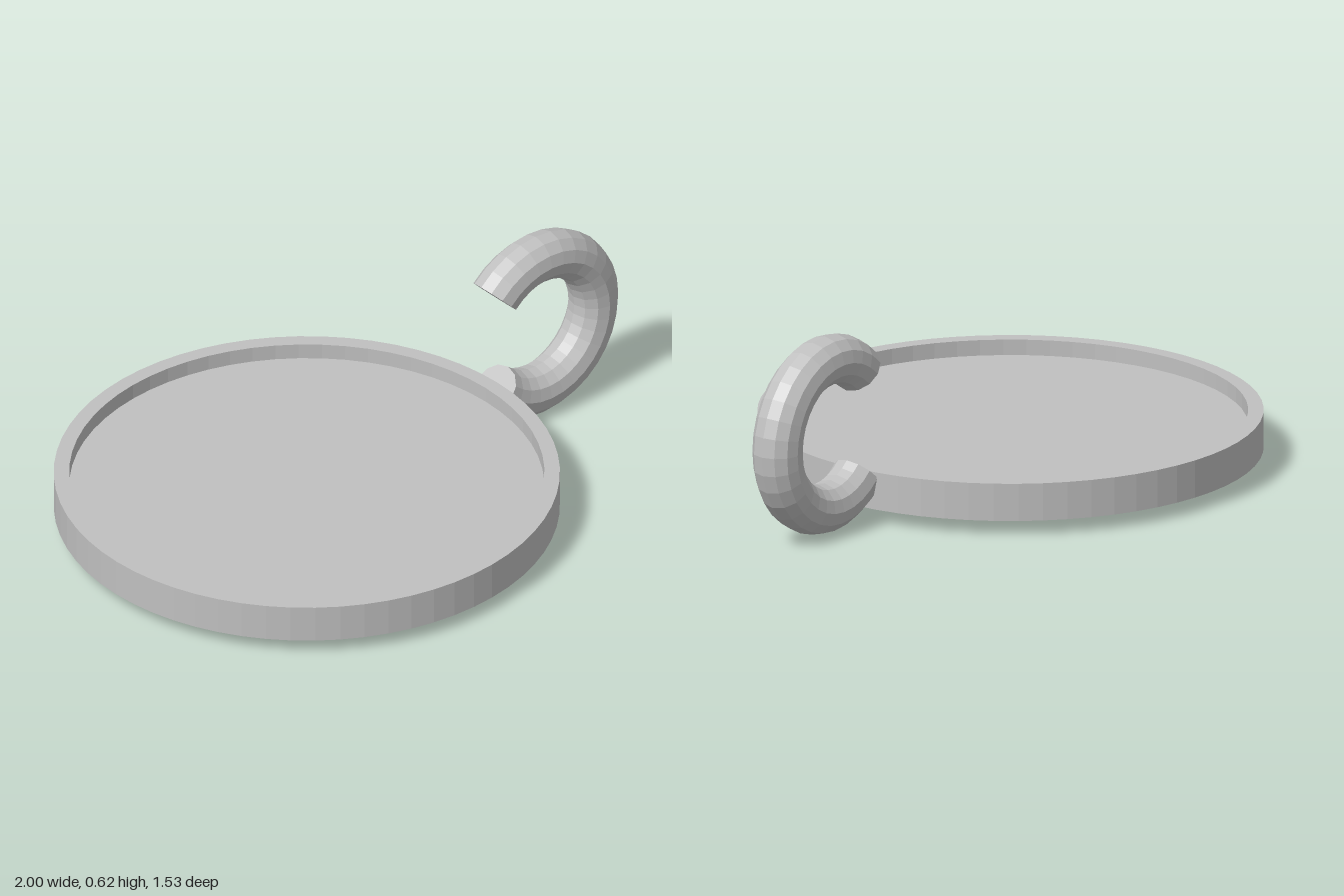
import * as THREE from 'three';

export function createModel() {
  const model = new THREE.Group();
  const grey = new THREE.MeshStandardMaterial({ color: 0xc0c0c0, flatShading: true });
  grey.name = 'plain grey';

  const add = (name, geometry, parent = model) => {
    const mesh = new THREE.Mesh(geometry, grey);
    mesh.name = name;
    parent.add(mesh);
    return mesh;
  };

  // Shallow round dish with a thin raised rim
  const bottom = 0.045, top = 0.163, floor = 0.114, outer = 0.767, inner = 0.72;
  const profile = [
    [0, bottom], [outer, bottom], [outer, top],
    [inner, top], [inner, floor], [0, floor],
  ].map(([x, y]) => new THREE.Vector2(x, y));
  add('dish', new THREE.LatheGeometry(profile, 64)).position.x = -0.233;

  // Open ring handle, three quarters of a turn, with its lower end set into the rim
  const ringRadius = 0.233, tube = 0.077, sides = 12, halfArc = Math.PI * 0.75;
  const handle = new THREE.Group();
  handle.name = 'handle';
  handle.position.set(0.69, 0.31, 0);
  model.add(handle);
  add('handleRing',
    new THREE.TorusGeometry(ringRadius, tube, sides, 24, halfArc * 2).rotateZ(-halfArc), handle);

  // Flat caps on both ends of the ring
  for (const side of [-1, 1]) {
    const cap = new THREE.CircleGeometry(tube, sides)
      .rotateX(-side * Math.PI / 2)
      .translate(ringRadius, 0, 0)
      .rotateZ(side * halfArc);
    add(side > 0 ? 'upperEndCap' : 'lowerEndCap', cap, handle);
  }

  return model;
}
